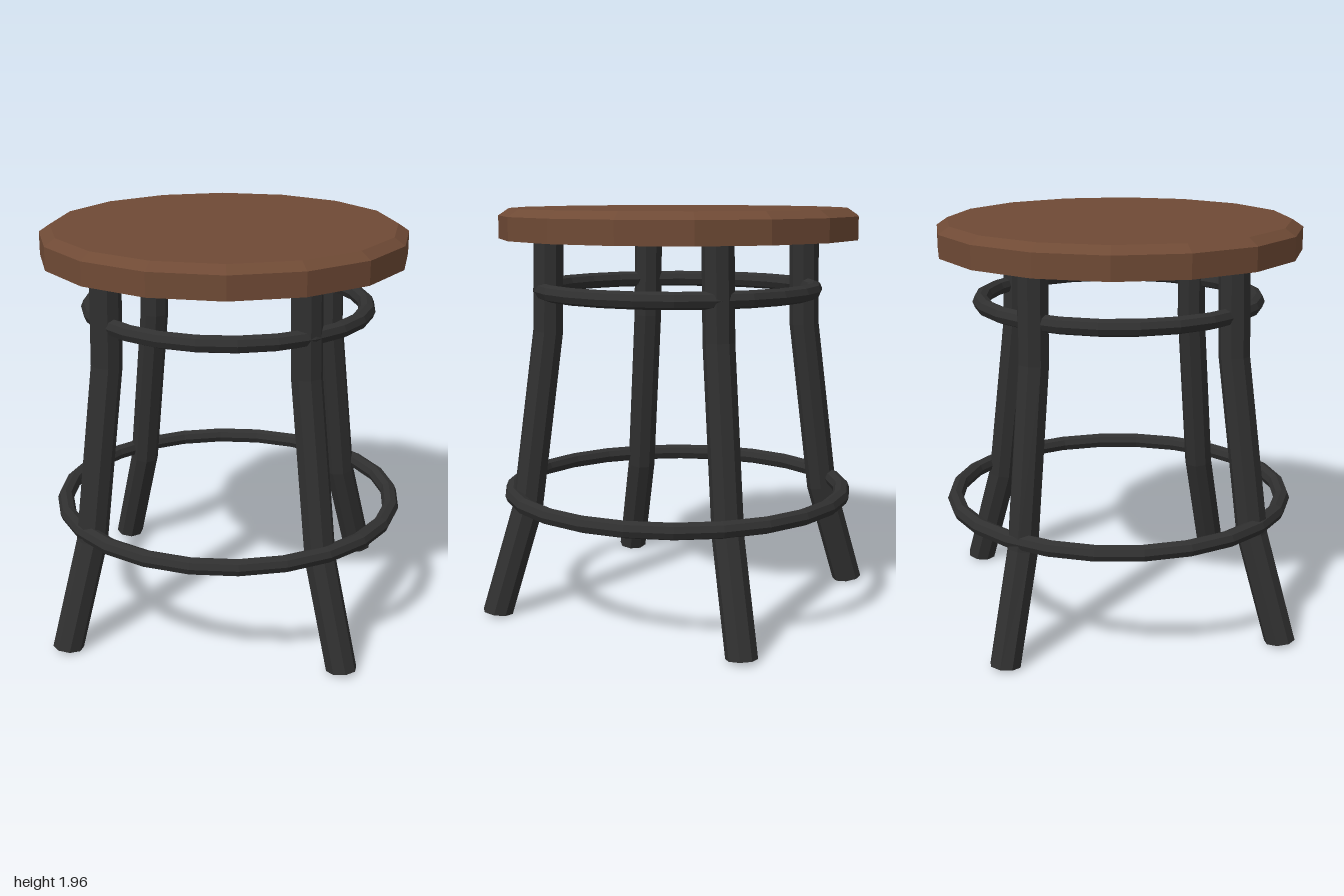
import * as THREE from 'three';

const wood = new THREE.MeshStandardMaterial({ color: 0x6f4a35 });
wood.name = 'brownWood';
const metal = new THREE.MeshStandardMaterial({ color: 0x303030 });
metal.name = 'darkMetal';

// Faceted mesh: split vertices so every face is flat
function facetedMesh(geometry, material, name) {
  const flat = geometry.toNonIndexed();
  flat.computeVertexNormals();
  const mesh = new THREE.Mesh(flat, material);
  mesh.name = name;
  return mesh;
}

// Bent eight-sided leg, splaying out along +z and drifting slightly sideways
function legGeometry() {
  const r = 0.073;
  // top to bottom: sideways, height, outward, tilt of the cross-section
  const stations = [
    [0.012, 1.83, 0.642, 0],
    [0.016, 1.38, 0.652, 0.07],
    [0.03, 0.53, 0.768, 0.2],
    [0.05, 0.014, 0.928, 0.15],
  ];
  const geo = new THREE.CylinderGeometry(1, 1, 1, 8, 3, false, Math.PI / 8);
  const p = geo.attributes.position;
  for (let i = 0; i < p.count; i++) {
    const [sx, sy, sz, tilt] = stations[Math.round((0.5 - p.getY(i)) * 3)];
    const x = p.getX(i) * r, z = p.getZ(i) * r;
    p.setXYZ(i, sx + x, sy + z * tilt, sz + z);
  }
  return geo;
}

export function createModel() {
  const stool = new THREE.Group();
  stool.name = 'stool';

  // Seat: sixteen-sided disc with a bevelled top edge
  const profile = [[0, 1.816], [0.872, 1.816], [0.872, 1.925], [0.82, 1.96], [0, 1.96]]
    .map(([x, y]) => new THREE.Vector2(x, y));
  const seatGeo = new THREE.LatheGeometry(profile, 16, Math.PI / 16 + 0.023);
  stool.add(facetedMesh(seatGeo, wood, 'seat'));

  // Four legs around the centre
  ['frontLeg', 'leftLeg', 'backLeg', 'rightLeg'].forEach((name, i) => {
    const leg = facetedMesh(legGeometry(), metal, name);
    leg.rotation.y = i * Math.PI / 2;
    stool.add(leg);
  });

  // Upper brace ring and lower foot ring, set slightly off centre
  for (const [name, radius, y] of [['braceRing', 0.665, 1.572], ['footRing', 0.82, 0.58]]) {
    const geo = new THREE.TorusGeometry(radius, 0.04, 8, 24).rotateX(Math.PI / 2);
    const ring = facetedMesh(geo, metal, name);
    ring.position.set(0.014, y, 0.015);
    stool.add(ring);
  }

  return stool;
}
